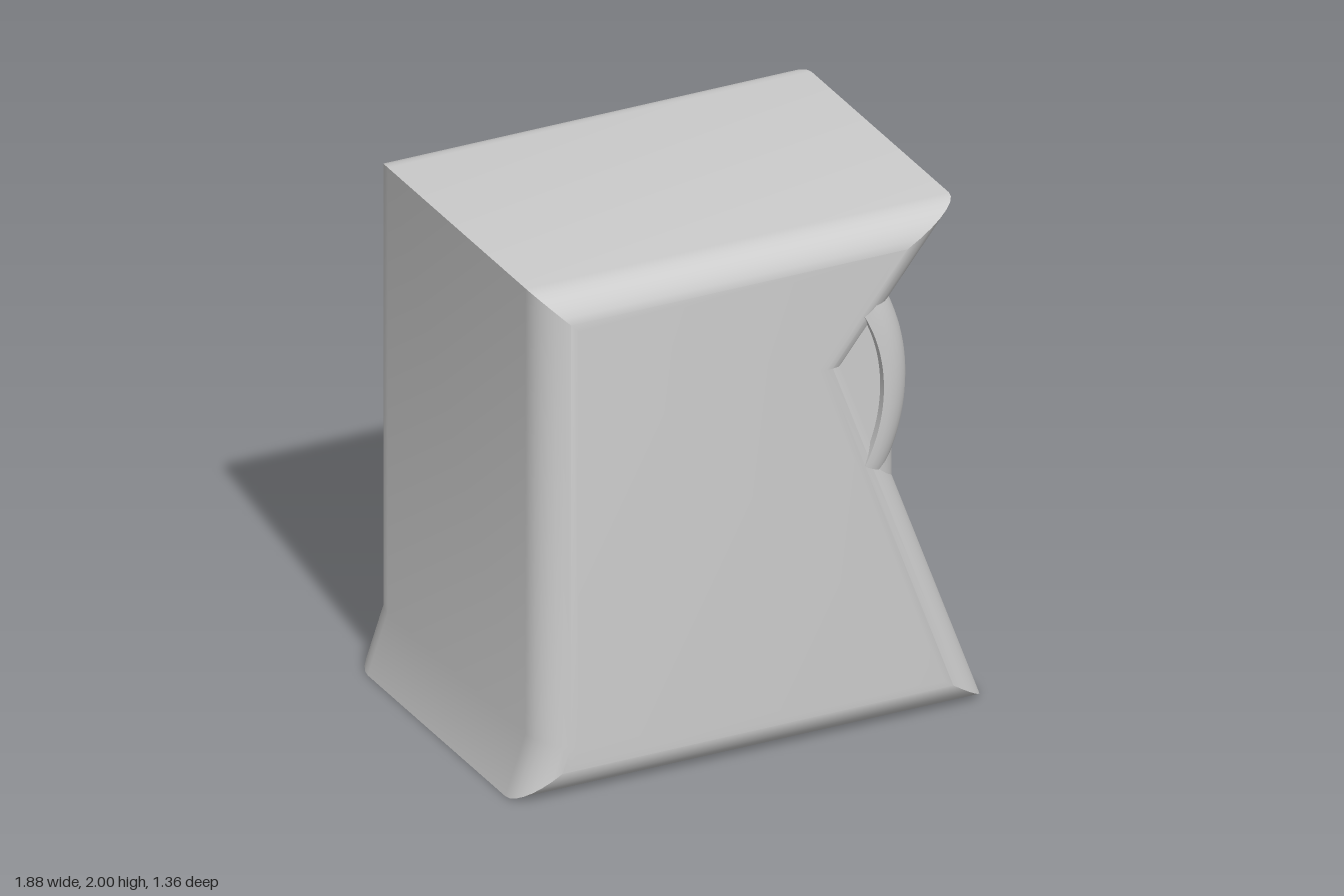
import * as THREE from 'three';
import { toCreasedNormals } from 'three/addons/utils/BufferGeometryUtils.js';
import { ParametricGeometry } from 'three/addons/geometries/ParametricGeometry.js';

const BEVEL = 0.14;
const STEPS = 8;

// Rounded edge as [inset, z] pairs, running from the back face to the front face
function edgeProfile(halfDepth, radius) {
  const front = [];
  for (let i = 0; i <= STEPS; i++) {
    const a = (i / STEPS) * Math.PI / 2;
    front.push([radius * (1 - Math.cos(a)), halfDepth - radius + radius * Math.sin(a)]);
  }
  const back = front.map(([inset, z]) => [inset, -z]).reverse();
  return [...back, ...front];
}

// Moves every side of a counter-clockwise outline inwards, with mitred corners
function insetOutline(points, d) {
  const n = points.length;
  const normal = (p, q) => new THREE.Vector2(q.y - p.y, p.x - q.x).normalize();
  return points.map((p, i) => {
    const n1 = normal(points[(i + n - 1) % n], p);
    const n2 = normal(p, points[(i + 1) % n]);
    const k = d / (1 + n1.dot(n2));
    return new THREE.Vector2(p.x - k * (n1.x + n2.x), p.y - k * (n1.y + n2.y));
  });
}

// Side outline carried across z, with rounded edges around both faces
function roundedPrism(outline, halfDepth, radius) {
  const points = outline.map(([x, y]) => new THREE.Vector2(x, y));
  const profile = edgeProfile(halfDepth, radius);
  const n = points.length;
  const positions = [];
  const index = [];
  profile.forEach(([inset, z]) => {
    insetOutline(points, inset).forEach((p) => positions.push(p.x, p.y, z));
  });
  for (let j = 0; j < profile.length - 1; j++) {
    for (let i = 0; i < n; i++) {
      const a = j * n + i;
      const b = j * n + (i + 1) % n;
      index.push(a, b, b + n, a, b + n, a + n);
    }
  }
  const last = (profile.length - 1) * n;
  const cap = insetOutline(points, radius);
  THREE.ShapeUtils.triangulateShape(cap, []).forEach(([a, b, c]) => {
    index.push(last + a, last + b, last + c, c, b, a);
  });
  const geometry = new THREE.BufferGeometry();
  geometry.setAttribute('position', new THREE.Float32BufferAttribute(positions, 3));
  geometry.setIndex(index);
  return toCreasedNormals(geometry, 0.4);
}

export function createModel() {
  const group = new THREE.Group();
  const material = new THREE.MeshStandardMaterial({ color: 0xcccccc });
  const thin = new THREE.MeshStandardMaterial({ color: 0xcccccc, side: THREE.DoubleSide });
  const add = (name, geometry, mat = material) => {
    const mesh = new THREE.Mesh(geometry, mat);
    mesh.name = name;
    group.add(mesh);
    return mesh;
  };

  // Cabinet with flared foot, sloping face and overhanging top
  add('cabinet', roundedPrism([
    [-0.94, 0], [0.94, 0], [0.40, 1.46], [0.83, 2], [-0.86, 2], [-0.86, 0.23],
  ], 0.68, BEVEL));

  // Upright ledge below the curved panel
  add('ledge', roundedPrism([
    [0.05, 0.72], [0.60, 0.72], [0.60, 1.2], [0.05, 1.2],
  ], 0.665, 0.16));

  // Curved front panel with rounded ends and a short inner lip
  const rim = edgeProfile(0.68, BEVEL);
  const sweep = [[BEVEL, -0.64], ...rim, [BEVEL, 0.64]];
  const panel = new ParametricGeometry((u, v, target) => {
    const [inset, z] = sweep[Math.round(v * (sweep.length - 1))];
    const angle = -0.5 + u;
    const r = 0.76 - inset;
    target.set(-0.12 + r * Math.cos(angle), 1.36 + r * Math.sin(angle), z);
  }, 24, sweep.length - 1);
  panel.deleteAttribute('normal');
  panel.deleteAttribute('uv');
  add('curvedPanel', toCreasedNormals(panel, 0.6), thin);

  // Flat core seen in the opening beside the panel
  const core = new THREE.Shape([
    [0.28, 1.47], [0.46, 1.05], [0.53, 1.15], [0.54, 1.36], [0.51, 1.60], [0.42, 1.66],
  ].map(([x, y]) => new THREE.Vector2(x, y)));
  const coreGeometry = new THREE.ExtrudeGeometry(core, { depth: 1.3, bevelEnabled: false });
  coreGeometry.translate(0, 0, -0.65);
  add('panelCore', coreGeometry);

  // Narrow trim strip across the sloping face
  const strip = add('trimStrip', new THREE.BoxGeometry(0.02, 0.01, 1.04));
  strip.position.set(0.797, 0.375, 0);
  strip.rotation.z = Math.atan2(0.54, 1.46);

  return group;
}
